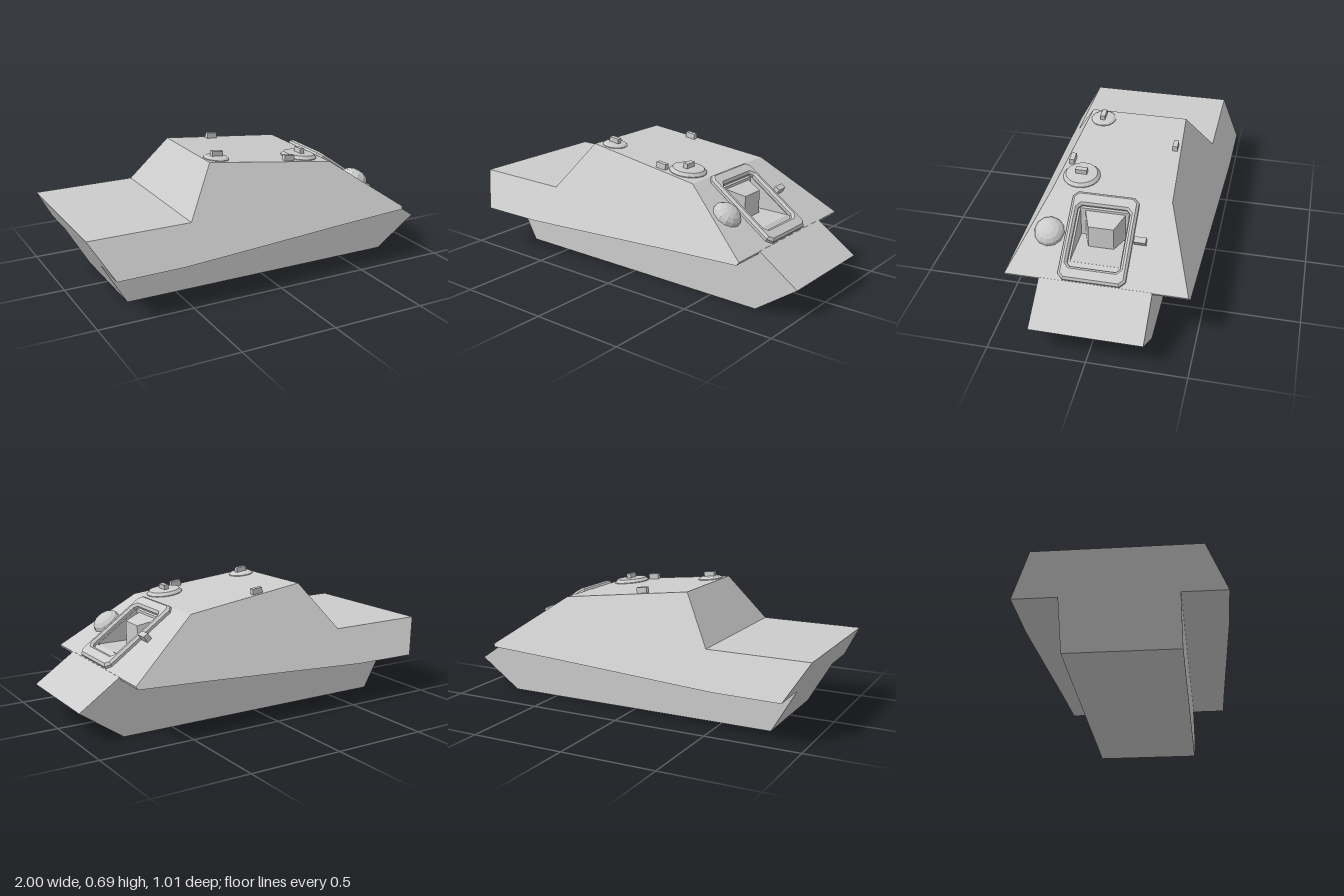
import * as THREE from 'three';

const mat = new THREE.MeshStandardMaterial({ color: 0xcccccc, flatShading: true });
const openMat = new THREE.MeshStandardMaterial({ color: 0xcccccc, flatShading: true, side: THREE.DoubleSide });

function add(parent, name, geo, x = 0, y = 0, z = 0, material = mat) {
  const m = new THREE.Mesh(geo, material);
  m.name = name;
  m.position.set(x, y, z);
  parent.add(m);
  return m;
}

// Joins four-cornered sections running along +x; skipTop leaves out one top panel
function loft(sections, skipTop = -1) {
  const pos = [];
  const quad = (a, b, c, d) => pos.push(...a, ...b, ...c, ...a, ...c, ...d);
  for (let i = 0; i < sections.length - 1; i++) {
    const s = sections[i], t = sections[i + 1];
    for (let j = 0; j < 4; j++) {
      if (j === 0 && i === skipTop) continue;
      const k = (j + 1) % 4;
      quad(s[j], t[j], t[k], s[k]);
    }
  }
  const f = sections[0], l = sections[sections.length - 1];
  quad(f[0], f[1], f[2], f[3]);
  quad(l[3], l[2], l[1], l[0]);
  const g = new THREE.BufferGeometry();
  g.setAttribute('position', new THREE.Float32BufferAttribute(pos, 3));
  g.computeVertexNormals();
  return g;
}

function polygon(points, T = THREE.Shape) {
  return new T(points.map(p => new THREE.Vector2(...p)));
}

// Rectangle with cut corners
function cutRect(w, h, c, T = THREE.Shape) {
  const a = w / 2, b = h / 2;
  return polygon([[-a + c, -b], [a - c, -b], [a, -b + c], [a, b - c],
    [a - c, b], [-a + c, b], [-a, b - c], [-a, -b + c]], T);
}

// Side armour is one sloping plane, so its half width depends only on height
const halfWidth = y => 0.4 + (0.41 - y) * 0.56;
const roofSlope = 0.08 / 0.69;
const roofY = x => 0.655 - roofSlope * (x + 0.29);

export function createModel() {
  const model = new THREE.Group();
  model.name = 'armouredHull';

  // Lower hull
  const lower = new THREE.ExtrudeGeometry(
    polygon([[-0.765, 0], [0.77, 0], [1, 0.16], [0.785, 0.306], [-0.894, 0.225]]),
    { depth: 0.566, bevelEnabled: false });
  add(model, 'lowerHull', lower, 0, 0, -0.283);

  // Upper hull: top x, top y, bottom x, bottom y of each station
  const stations = [
    [-1, 0.41, -0.894, 0.225],
    [-0.46, 0.41, -0.54, 0.228],
    [-0.29, 0.655, -0.29, 0.24],
    [0.4, 0.575, 0.4, 0.274],
    [0.785, 0.305, 0.777, 0.29],
  ];
  add(model, 'upperHull', loft(stations.map(([tx, ty, bx, by]) => {
    const t = halfWidth(ty), b = halfWidth(by);
    return [[tx, ty, t], [tx, ty, -t], [bx, by, -b], [bx, by, b]];
  }), 3));

  // Glacis group: local x = -z, y = up the slope, z = outwards
  const len = Math.hypot(0.385, 0.27), c = 0.385 / len, s = 0.27 / len;
  const glacis = new THREE.Group();
  glacis.name = 'frontGlacis';
  glacis.position.set(0.5925, 0.44, 0);
  glacis.quaternion.setFromRotationMatrix(new THREE.Matrix4().makeBasis(
    new THREE.Vector3(0, 0, -1), new THREE.Vector3(-c, s, 0), new THREE.Vector3(s, c, 0)));
  model.add(glacis);
  const slopeV = x => (0.5925 - x) / c;

  // Glacis plate with the gun opening
  const wt = halfWidth(0.575), wb = halfWidth(0.305), h = len / 2;
  const plate = polygon([[-wb, -h], [wb, -h], [wt, h], [-wt, h]]);
  const zL = 0.145, zR = -0.105, xBack = 0.47, xFront = 0.7, yFloor = 0.365;
  const v0 = slopeV(xFront), v1 = slopeV(xBack);
  plate.holes.push(polygon([[-zL, v0], [-zL, v1], [-zR, v1], [-zR, v0]], THREE.Path));
  add(glacis, 'glacisPlate', new THREE.ShapeGeometry(plate));

  // Raised frame around the opening
  const frame = cutRect(0.315, 0.435, 0.02);
  frame.holes.push(cutRect(0.31, 0.365, 0.02, THREE.Path));
  frame.holes[0] = cutRect(0.29, 0.345, 0.025, THREE.Path);
  add(glacis, 'gunFrame', new THREE.ExtrudeGeometry(frame, {
    depth: 0.014, bevelThickness: 0.012, bevelSize: 0.012, bevelSegments: 1,
  }), -0.022, 0, 0);

  // Recess: floor, back wall and two triangular cheeks
  const recess = new THREE.Group();
  recess.name = 'gunRecess';
  model.add(recess);
  const yTop = 0.44 + (0.5925 - xBack) * 0.27 / 0.385, zMid = (zL + zR) / 2, w = zL - zR;
  add(recess, 'recessFloor', new THREE.PlaneGeometry(xFront - xBack, w),
    (xFront + xBack) / 2, yFloor, zMid, openMat).rotation.x = -Math.PI / 2;
  add(recess, 'recessBack', new THREE.PlaneGeometry(w, yTop - yFloor),
    xBack, (yTop + yFloor) / 2, zMid, openMat).rotation.y = Math.PI / 2;
  const cheek = new THREE.ShapeGeometry(polygon([[xBack, yFloor], [xFront, yFloor], [xBack, yTop]]));
  for (const z of [zL, zR]) add(recess, 'recessCheek', cheek, 0, 0, z, openMat);

  // Tapered gun mount block inside the recess
  add(recess, 'gunMountBlock', loft([[xBack, 0.513, 0.12, -0.085], [0.565, 0.485, 0.085, -0.045]]
    .map(([x, y, l, r]) => [[x, y, l], [x, y, r], [x, yFloor, r], [x, yFloor, l]])));

  // Ball mount and vision block on the glacis
  const ball = add(glacis, 'ballMount',
    new THREE.SphereGeometry(0.077, 12, 4, 0, Math.PI * 2, 0, Math.PI / 2), -0.277, slopeV(0.587), 0);
  ball.rotation.x = Math.PI / 2;
  ball.scale.y = 0.65;
  add(glacis, 'visionBlock', new THREE.BoxGeometry(0.06, 0.03, 0.05), 0.185, slopeV(0.583), 0.012);

  // Roof fittings, tilted with the roof
  const onRoof = (name, x, z) => {
    const g = new THREE.Group();
    g.name = name;
    g.position.set(x, roofY(x), z);
    g.rotation.z = -Math.atan(roofSlope);
    model.add(g);
    return g;
  };
  const hatches = [
    ['rearHatch', -0.215, 0.185, 0.067, 0.055, 0.012, 0],
    ['frontHatch', 0.28, 0.185, 0.096, 0.082, 0.02, Math.PI / 2],
  ];
  for (const [name, x, z, r0, r1, height, turn] of hatches) {
    const g = onRoof(name, x, z);
    const profile = [[r0, -0.005], [r0, 0.004], [r1, height], [0, height + 0.004]];
    add(g, 'hatchLid', new THREE.LatheGeometry(profile.map(p => new THREE.Vector2(...p)), 20));
    add(g, 'hatchPeriscope', new THREE.BoxGeometry(0.06, 0.03, 0.026), 0, height + 0.013, 0).rotation.y = turn;
  }
  for (const [x, z] of [[0.17, 0.26], [-0.03, -0.25]]) {
    add(onRoof('roofPeriscope', x, z), 'periscopeBlock', new THREE.BoxGeometry(0.058, 0.036, 0.026), 0, 0.012, 0);
  }
  return model;
}
